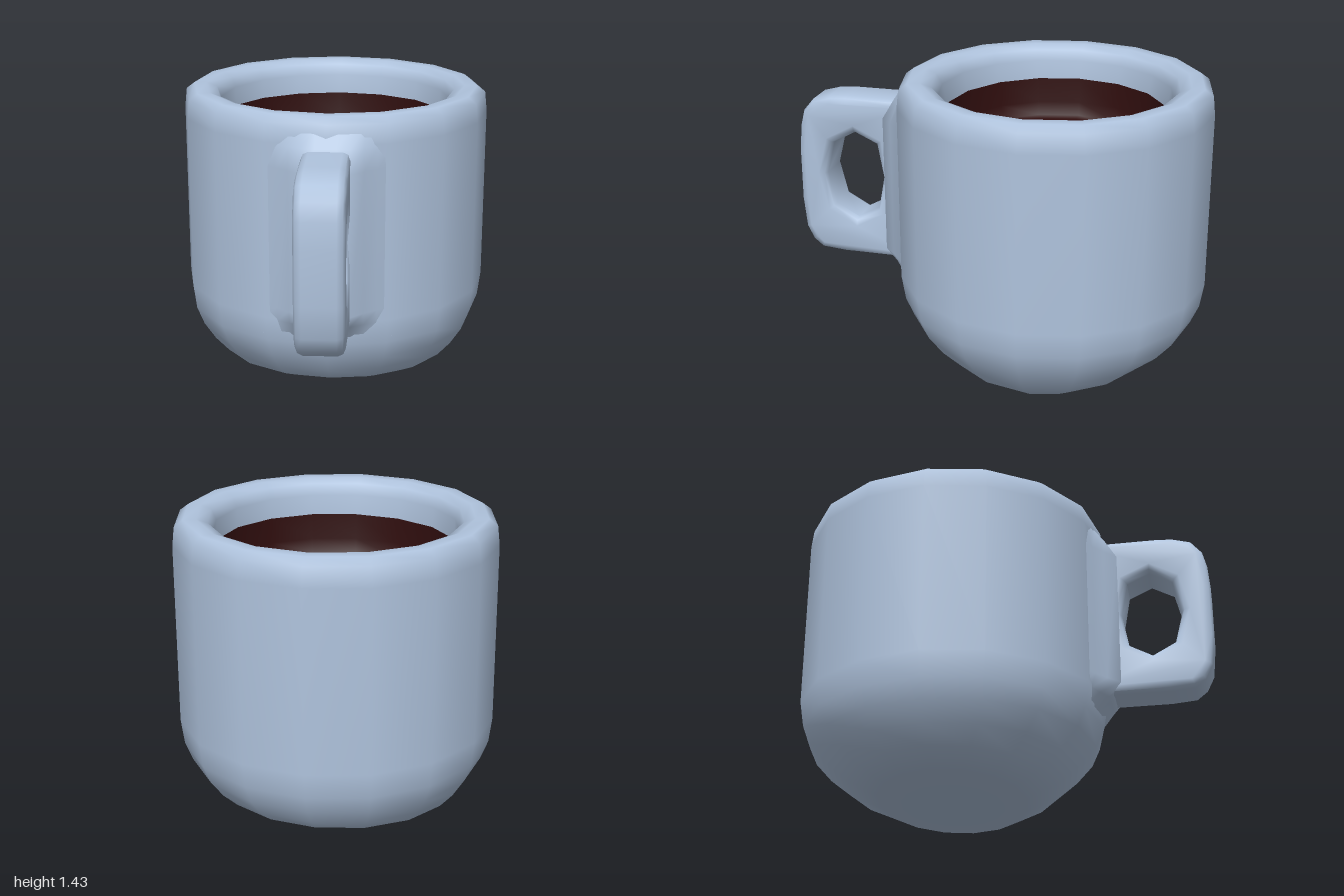
import * as THREE from 'three';
import { toCreasedNormals } from 'three/addons/utils/BufferGeometryUtils.js';

const CUP_Z = -0.26;

function makeMaterial(name, color) {
  const m = new THREE.MeshStandardMaterial({ color });
  m.name = name;
  return m;
}

function makeMesh(name, geometry, material) {
  const mesh = new THREE.Mesh(geometry, material);
  mesh.name = name;
  return mesh;
}

const vectors = (list) => list.map(([x, y]) => new THREE.Vector2(x, y));

// 16-sided turned shape; each row is [x radius, y, z radius]
function turned(rows) {
  const geo = new THREE.LatheGeometry(vectors(rows), 16);
  const pos = geo.attributes.position;
  for (let i = 0; i < pos.count; i++) {
    const [rx, , rz = rx] = rows[i % rows.length];
    pos.setZ(i, pos.getZ(i) * (rx ? rz / rx : 1));
  }
  return geo.translate(0, 0, CUP_Z);
}

// Flat handle plate with rounded edges and an eight-sided finger hole
function handleGeometry() {
  const shape = new THREE.Shape(vectors([
    [0.4, 0.48], [0.78, 0.48], [0.9, 0.49], [0.95, 0.53], [0.985, 0.6], [1, 0.75],
    [1, 1.0], [0.99, 1.12], [0.97, 1.2], [0.92, 1.26], [0.83, 1.285], [0.75, 1.29], [0.4, 1.29],
  ]));
  shape.holes.push(new THREE.Path(vectors([
    [0.6, 1.06], [0.71, 1.11], [0.82, 1.05], [0.86, 0.89],
    [0.82, 0.73], [0.71, 0.67], [0.6, 0.73], [0.57, 0.89],
  ])));
  const bevel = 0.035;
  const geo = new THREE.ExtrudeGeometry(shape, {
    depth: 0.22 - 2 * bevel, steps: 1, bevelEnabled: true,
    bevelThickness: bevel, bevelSize: bevel, bevelOffset: -bevel, bevelSegments: 2,
  });
  geo.translate(0, 0, -0.11 + bevel).rotateY(-Math.PI / 2);
  return toCreasedNormals(geo, 1);
}

// Soft flare that blends the handle into the cup wall
function flareGeometry() {
  const half = [[0.3, -0.015], [0.23, 0.02], [0.17, 0.055], [0.11, 0.1], [0.05, 0.09]];
  const columns = [...half.map(([x, d]) => [-x, d]), ...half.reverse()];
  const rows = [[0.38, 0], [0.46, 0.5], [0.53, 1], [1.2, 1], [1.3, 0.5], [1.38, 0]];
  const points = [], index = [], n = columns.length;
  rows.forEach(([y, k], j) => columns.forEach(([x, d], i) => {
    const wall = 0.48 - 0.21 * Math.abs(x);
    points.push(x, y, wall + k * d - (1 - k) * 0.02);
    if (i < n - 1 && j < rows.length - 1) {
      const a = j * n + i, b = a + n;
      index.push(a, a + 1, b + 1, a, b + 1, b);
    }
  }));
  const geo = new THREE.BufferGeometry();
  geo.setAttribute('position', new THREE.Float32BufferAttribute(points, 3));
  geo.setIndex(index);
  geo.computeVertexNormals();
  return geo;
}

export function createModel() {
  const glaze = makeMaterial('pale blue glaze', 0xb0c4de);
  const coffee = makeMaterial('dark coffee', 0x300e0e);
  const foam = makeMaterial('coffee bubble', 0x665046);
  const model = new THREE.Group();
  model.name = 'mug';

  // Cup body: rounded base, straight wall, thick rim and upper inner wall
  model.add(makeMesh('cup', turned([
    [0, 0], [0.25, 0, 0.21], [0.47, 0.025, 0.36], [0.57, 0.09, 0.5], [0.635, 0.17, 0.6],
    [0.69, 0.26, 0.68], [0.725, 0.35, 0.72], [0.74, 0.47], [0.74, 1.31], [0.73, 1.4],
    [0.69, 1.43], [0.63, 1.43], [0.58, 1.41], [0.56, 1.36, 0.55], [0.555, 1.25, 0.525],
  ]), glaze));

  // Handle
  model.add(makeMesh('handle', handleGeometry(), glaze));
  model.add(makeMesh('handleFlare', flareGeometry(), glaze));

  // Coffee: stained lower wall and sunken surface
  model.add(makeMesh('coffee', turned([
    [0.554, 1.27, 0.525], [0.545, 1.15, 0.515], [0.53, 1.085, 0.5], [0.48, 1.08, 0.46], [0, 1.08],
  ]), coffee));

  // Bubbles: [x, z, x radius, z radius]
  [[-0.15, -0.43, 0.065, 0.065], [0.085, -0.19, 0.09, 0.09], [-0.26, -0.145, 0.11, 0.125]]
    .forEach(([x, z, rx, rz], i) => {
      const disc = new THREE.CircleGeometry(1, 24).rotateX(-Math.PI / 2);
      disc.scale(rx, 1, rz).translate(x, 1.087, z);
      model.add(makeMesh('bubble' + (i + 1), disc, foam));
    });

  return model;
}
